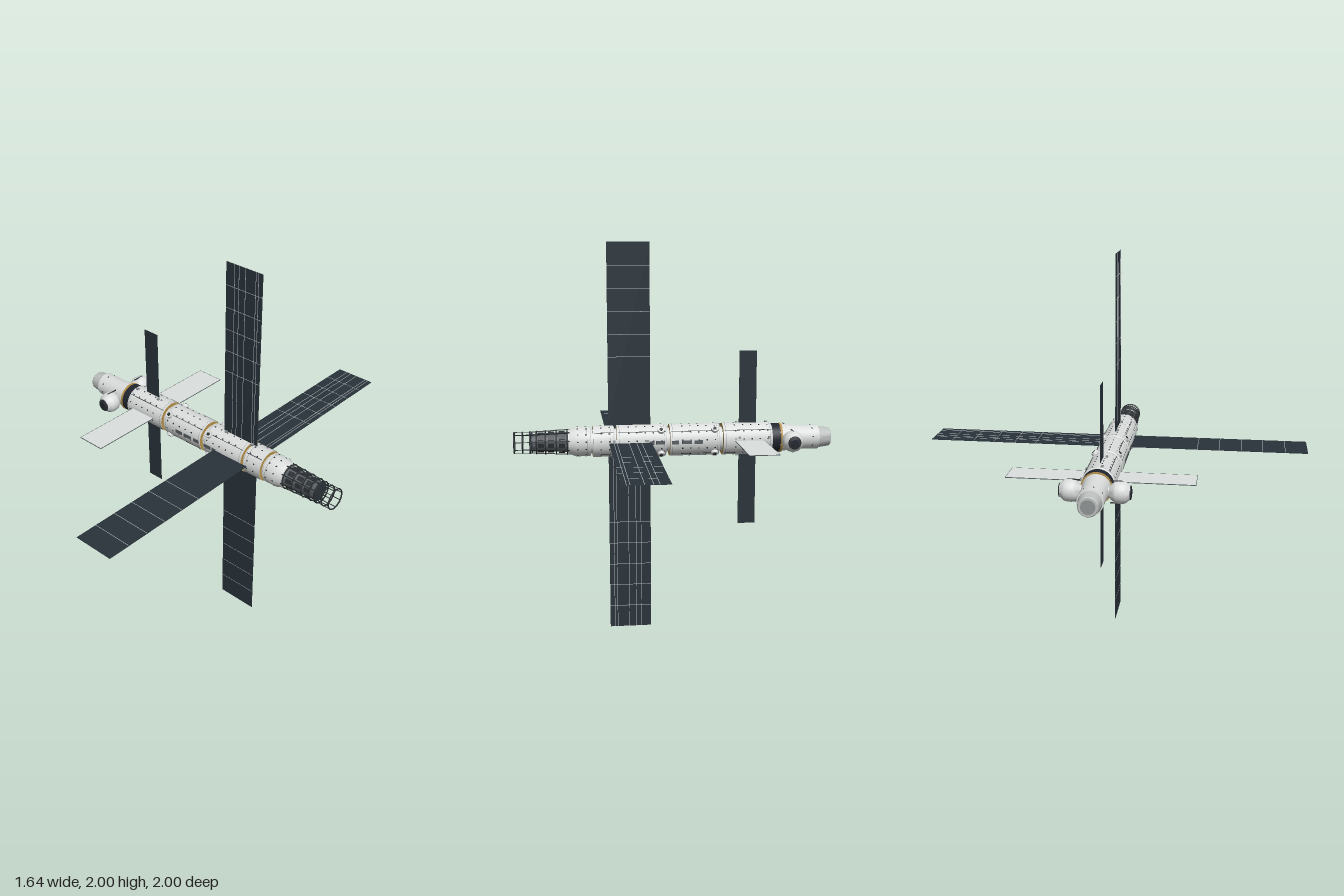
import * as THREE from 'three';
import { mergeGeometries, toCreasedNormals } from 'three/addons/utils/BufferGeometryUtils.js';

const paint = (name, color, side = THREE.FrontSide) => {
  const m = new THREE.MeshStandardMaterial({ color, side });
  m.name = name;
  return m;
};

export function createModel() {
  const hull = paint('hull white', 0xdadddc);
  const pale = paint('nose grey', 0xbcc0bf);
  const grey = paint('fitting grey', 0x8f9596);
  const dark = paint('dark metal', 0x2b3034);
  const navy = paint('collar navy', 0x20252f);
  const gold = paint('gold foil', 0xb8924a, THREE.DoubleSide);
  const cell = paint('solar cell', 0x29333a);
  const line = paint('panel line', 0xb4babc);
  const steel = paint('steel grey', 0x585e63);
  const radiatorGrey = paint('radiator grey', 0xdce1e0);

  const model = new THREE.Group();
  model.name = 'spaceStation';
  const station = new THREE.Group();
  station.name = 'station';
  station.position.y = 1;
  model.add(station);

  const add = (parent, name, geometry, material) => {
    const mesh = new THREE.Mesh(geometry, material);
    mesh.name = name;
    parent.add(mesh);
    return mesh;
  };
  // Profile of [x, radius] pairs turned around the x axis
  const turned = (pts, sides = 32) => toCreasedNormals(
    new THREE.LatheGeometry(pts.map(([x, r]) => new THREE.Vector2(r, x)), sides).rotateZ(-Math.PI / 2), 0.5);
  const box = (w, h, d, x, y, z) => new THREE.BoxGeometry(w, h, d).translate(x, y, z);
  const hoop = (x, r, t) => new THREE.TorusGeometry(r, t, 6, 32).rotateY(Math.PI / 2).translate(x, 0, 0);
  // Copies of a geometry spaced evenly around the x axis
  const around = (n, make, offset = 0) => mergeGeometries(Array.from({ length: n },
    (_, i) => make().rotateX(offset + i * Math.PI * 2 / n)));

  // Nose and docking node
  add(station, 'noseCone', turned([[-0.82, 0], [-0.82, 0.044], [-0.815, 0.048], [-0.757, 0.056]]), pale);
  add(station, 'node', turned([[-0.758, 0.05], [-0.755, 0.062], [-0.64, 0.062], [-0.57, 0.07], [-0.545, 0.07], [-0.545, 0]]), hull);
  add(station, 'noseHatch', turned([[-0.822, 0], [-0.822, 0.034], [-0.819, 0.034]]), grey);
  add(station, 'nodeFasteners', around(8, () => box(0.007, 0.002, 0.006, -0.72, 0.062, 0), 0.2), dark);
  add(station, 'goldCollar', turned([[-0.56, 0.068], [-0.56, 0.076], [-0.55, 0.076], [-0.55, 0.068]]), gold);
  add(station, 'navyCollar', turned([[-0.548, 0.06], [-0.548, 0.074], [-0.51, 0.076], [-0.5, 0.076]]), navy);

  // Main hull modules with a gold annulus on the aft face of each
  add(station, 'core', turned([[-0.52, 0.062], [0.54, 0.062]]), hull);
  const modules = [[-0.505, -0.25, 0.082], [-0.231, 0.024, 0.082], [0.043, 0.295, 0.082],
    [0.308, 0.415, 0.08], [0.426, 0.535, 0.075]];
  modules.forEach(([a, b, r], i) => {
    const group = new THREE.Group();
    group.name = 'module' + (i + 1);
    station.add(group);
    const end = i === 4 ? r - 0.012 : r;
    add(group, 'shell', turned([[a, 0.05], [a, r - 0.004], [a + 0.004, r], [b - 0.035, r], [b, end], [b, 0.05]]), hull);
    add(group, 'goldRim', turned([[b + 0.001, end - 0.001], [b + 0.001, 0.06]]), gold);
    // Ring seams and rows of small fasteners
    const seams = i < 3 ? [a + 0.012, b - 0.012] : [a + 0.02];
    seams.forEach(x => add(group, 'ringSeam', turned([[x - 0.001, r + 0.0006], [x + 0.001, r + 0.0006]]), grey));
    const dots = [];
    for (let x = a + 0.025; x < b - 0.036; x += 0.042)
      dots.push(around(12, () => box(0.007, 0.002, 0.006, x, r + 0.0003, 0), 0.13));
    add(group, 'fasteners', mergeGeometries(dots), dark);
    if (i < 4) add(group, 'longSeams', around(4, () => box(b - a - 0.01, 0.002, 0.0025, (a + b) / 2, r, 0), 0.72), dark);
  });

  // Round ports near the forward end of modules two and three
  for (const x of [-0.205, 0.07]) {
    add(station, 'ports', around(4, () => new THREE.CylinderGeometry(0.017, 0.02, 0.02, 16).translate(x, 0.084, 0), Math.PI / 4), hull);
    add(station, 'portGlass', around(4, () => new THREE.CylinderGeometry(0.009, 0.009, 0.004, 16).translate(x, 0.094, 0), Math.PI / 4), dark);
  }
  // Window strips along both flanks
  for (const s of [1, -1]) {
    const strip = [[-0.12, 0.045], [-0.06, 0.05], [0.0, 0.035], [0.075, 0.045], [0.12, 0.025]]
      .map(([x, w]) => box(w, 0.018, 0.004, x, 0, s * 0.082));
    add(station, 'windows', mergeGeometries(strip), steel);
  }
  // Small handrail blocks beside the panel roots
  for (const x of [-0.485, -0.33, 0.14, 0.31])
    add(station, 'hinges', around(4, () => box(0.012, 0.012, 0.012, x, 0.084, 0), x < 0 ? 0.2 : 0.12), grey);

  // Two side pods with dark docking faces
  for (const s of [1, -1]) {
    const pod = new THREE.Group();
    pod.name = s > 0 ? 'frontPod' : 'backPod';
    pod.position.x = -0.6;
    pod.rotation.y = -s * Math.PI / 2;
    station.add(pod);
    add(pod, 'podShell', turned([[0.04, 0.026], [0.066, 0.026], [0.078, 0.038], [0.094, 0.051], [0.108, 0.054],
      [0.126, 0.054], [0.142, 0.05], [0.155, 0.039], [0.166, 0.031], [0.166, 0]], 24), hull);
    add(pod, 'dockingRing', turned([[0.163, 0.0335], [0.167, 0.032], [0.168, 0.03], [0.168, 0]], 24), dark);
    add(pod, 'hatch', turned([[0.168, 0.018], [0.17, 0.016], [0.17, 0]], 24), navy);
    add(pod, 'podRails', around(2, () => box(0.06, 0.004, 0.005, 0.1, 0.053, 0)), dark);
  }

  // Four large solar wings around the hull, ruled along one face
  for (let i = 0; i < 4; i++) {
    const wing = new THREE.Group();
    wing.name = 'solarWing' + (i + 1);
    wing.rotation.x = i * Math.PI / 2;
    station.add(wing);
    add(wing, 'wingPanel', box(0.215, 0.92, 0.0025, 0.2275, 0.54, 0), cell);
    const rules = [];
    for (const y of [0.43, 0.543, 0.657, 0.77, 0.885]) rules.push(box(0.214, 0.0025, 0.0035, 0.2275, y, 0));
    for (const x of [0.171, 0.197, 0.235, 0.296, 0.311]) rules.push(box(0.0025, 0.92, 0.001, x, 0.54, 0.0015));
    add(wing, 'wingLines', mergeGeometries(rules), line);
  }

  // Smaller forward wings: dark cells upright, pale radiators level
  for (const s of [1, -1]) {
    add(station, 'smallSolarWing', box(0.09, 0.385, 0.0025, -0.385, s * 0.2625, 0), cell);
    add(station, 'radiator', box(0.15, 0.0025, 0.385, -0.385, 0, s * 0.2625), radiatorGrey);
    const edges = [-0.46, -0.31].map(x => box(0.002, 0.0035, 0.385, x, 0, s * 0.2625));
    edges.push(box(0.152, 0.0035, 0.002, -0.385, 0, s * 0.455));
    add(station, 'radiatorEdges', mergeGeometries(edges), steel);
  }

  // Aft truss: tapered core, hoops, stringers and equipment boxes
  add(station, 'trussCore', turned([[0.53, 0.056], [0.56, 0.05], [0.72, 0.044]]), steel);
  add(station, 'trussCap', turned([[0.719, 0.05], [0.726, 0.05], [0.726, 0]]), cell);
  [0.545, 0.6, 0.655, 0.7, 0.732].forEach((x, i) =>
    add(station, 'trussHoop', hoop(x, 0.063 - i * 0.002, 0.0035), dark));
  add(station, 'trussStringers', around(8, () => box(0.2, 0.005, 0.006, 0, 0, 0).rotateZ(-0.05).translate(0.632, 0.058, 0), 0.2), dark);
  for (const x of [0.572, 0.627, 0.678])
    add(station, 'trussBoxes', around(8, () => box(0.03, 0.01, 0.022, x, 0.051 - (x - 0.57) * 0.05, 0), 0.59), dark);

  // Open cage at the very end
  for (const x of [0.77, 0.812]) add(station, 'cageHoop', hoop(x, 0.053, 0.0035), dark);
  add(station, 'cageBars', around(8, () => box(0.085, 0.003, 0.003, 0.772, 0.053, 0), 0.2), dark);
  return model;
}
